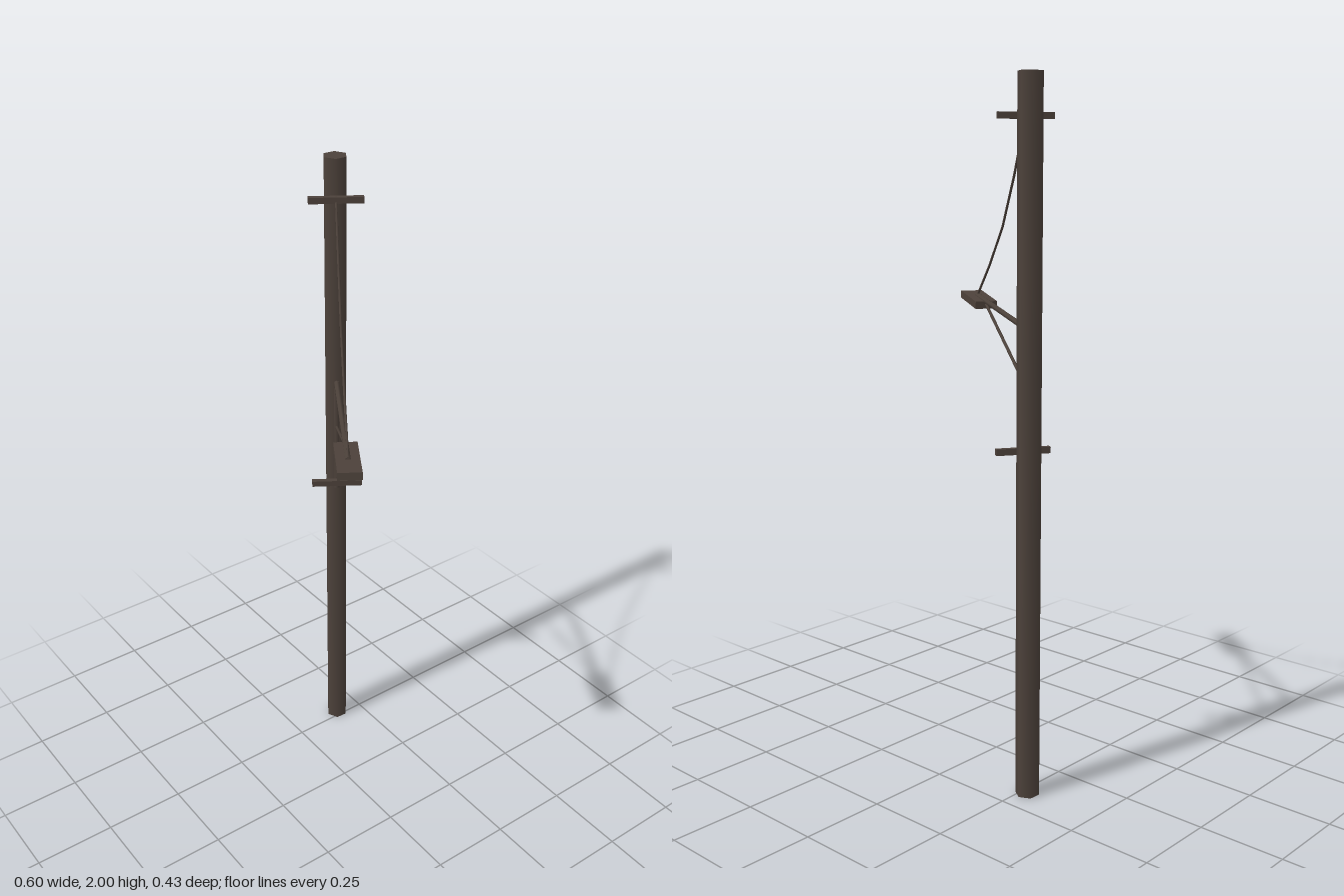
import * as THREE from 'three';

export function createModel() {
  const model = new THREE.Group();
  model.name = 'streetLamp';
  const brown = new THREE.MeshStandardMaterial({ color: 0x4d423b });
  brown.name = 'weathered brown';

  // Local frame: pole at the origin, lamp arm running along +x
  const rig = new THREE.Group();
  rig.name = 'lampPost';
  rig.position.set(-0.27, 0, -0.166);
  rig.rotation.y = -THREE.MathUtils.degToRad(33);
  model.add(rig);

  const add = (name, geometry, x = 0, y = 0, z = 0, parent = rig) => {
    const mesh = new THREE.Mesh(geometry, brown);
    mesh.name = name;
    mesh.position.set(x, y, z);
    parent.add(mesh);
    return mesh;
  };

  // Straight rods joining a list of [x, y] points
  const rods = (name, points, radius, sides) => {
    const group = new THREE.Group();
    group.name = name;
    rig.add(group);
    for (let i = 0; i < points.length - 1; i++) {
      const a = new THREE.Vector3(...points[i], 0);
      const b = new THREE.Vector3(...points[i + 1], 0);
      const dir = b.clone().sub(a);
      const geometry = new THREE.CylinderGeometry(radius, radius, dir.length() + radius * 0.5, sides);
      geometry.rotateY(Math.PI / sides);
      const mid = a.clone().add(b).multiplyScalar(0.5);
      const rod = add(name + 'Segment', geometry, mid.x, mid.y, 0, group);
      rod.quaternion.setFromUnitVectors(new THREE.Vector3(0, 1, 0), dir.normalize());
    }
  };

  // Six-sided pole with a corner towards the arm
  const pole = new THREE.CylinderGeometry(0.035, 0.035, 2, 6);
  pole.rotateY(Math.PI / 6);
  add('pole', pole, 0, 1, 0);

  // Short crossbars
  add('upperCrossbar', new THREE.BoxGeometry(0.015, 0.018, 0.155), 0.044, 1.89, 0);
  add('lowerCrossbar', new THREE.BoxGeometry(0.016, 0.018, 0.155), 0.057, 0.99, 0);

  // Bent arm, its brace and the sagging cable
  rods('arm', [[0.04, 0.965], [0.04, 1.312], [0.044, 1.325], [0.056, 1.333], [0.57, 1.373]], 0.0085, 6);
  rods('brace', [[0.036, 1.175], [0.485, 1.364]], 0.0045, 6);
  rods('cable', [[0.04, 1.897], [0.155, 1.735], [0.274, 1.595], [0.417, 1.48], [0.57, 1.375]], 0.0036, 5);

  // Flat lamp head, tilted up at its far end
  const head = add('lampHead', new THREE.BoxGeometry(0.19, 0.022, 0.066), 0.557, 1.362, 0);
  head.rotation.z = 0.09;

  return model;
}
